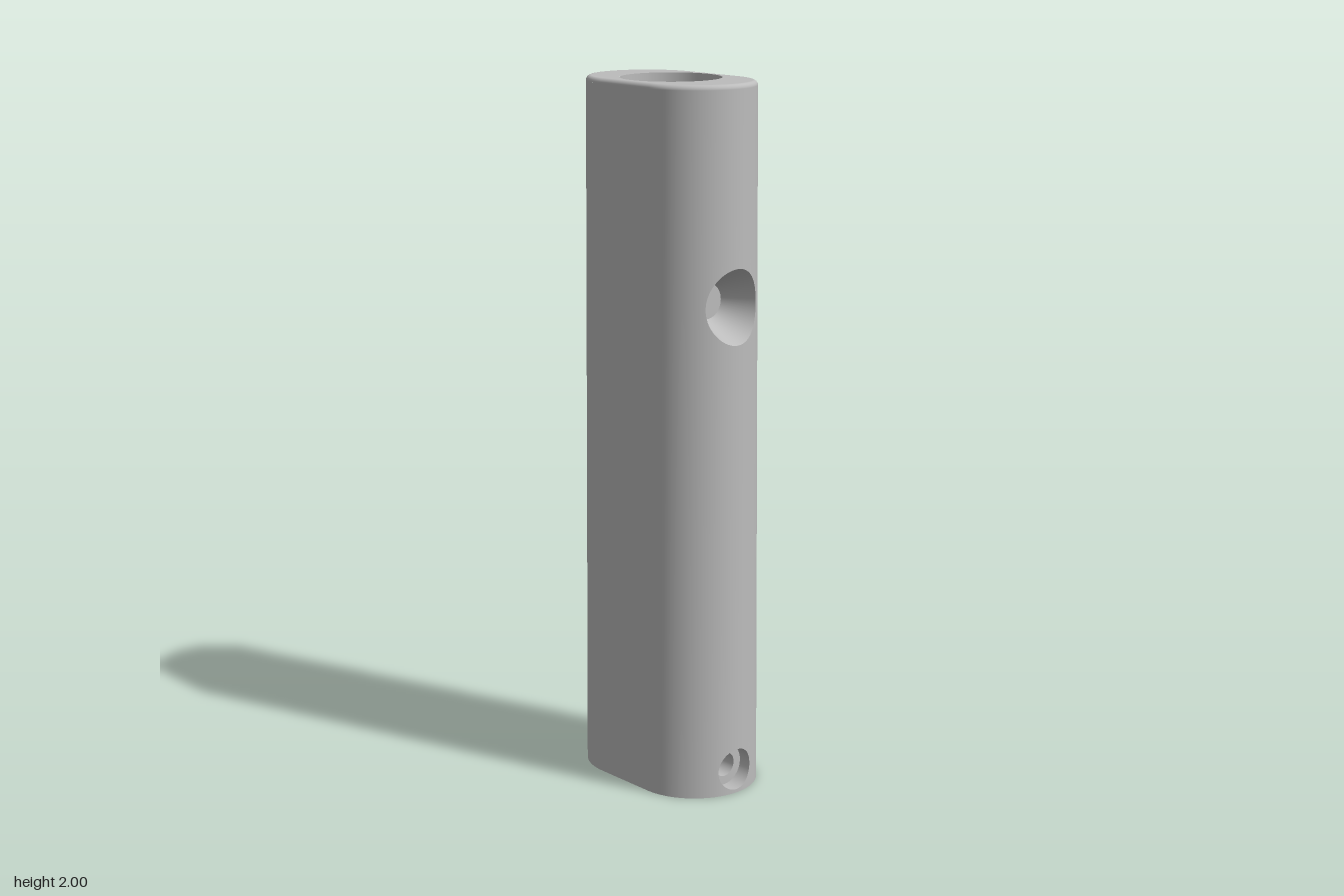
import * as THREE from 'three';
import { mergeGeometries } from 'three/addons/utils/BufferGeometryUtils.js';

const H = 2, FILLET = 0.014, TOP = H - FILLET;
const HALF = 0.1;                 // half length of the flat sides
const BORE = 0.14, NECK = 0.08;   // bore radii
const T = 0.8;                    // half angle of the areas that hold the side holes
const radius = y => 0.18 - 0.006 * y;
const V = (x, y, z) => new THREE.Vector3(x, y, z);

// Grid surface; fn(i, j) gives [position, normal], and faces turn towards the normal
function sheet(nu, nv, fn) {
  const pos = [], nor = [], idx = [], P = [], N = [];
  for (let j = 0; j <= nv; j++) for (let i = 0; i <= nu; i++) {
    const [p, n] = fn(i, j);
    n.normalize();
    P.push(p); N.push(n);
    pos.push(p.x, p.y, p.z);
    nor.push(n.x, n.y, n.z);
  }
  const tri = (a, b, c) => {
    const f = P[b].clone().sub(P[a]).cross(P[c].clone().sub(P[a]));
    if (f.dot(N[a].clone().add(N[b]).add(N[c])) >= 0) idx.push(a, b, c);
    else idx.push(a, c, b);
  };
  for (let j = 0; j < nv; j++) for (let i = 0; i < nu; i++) {
    const a = j * (nu + 1) + i, c = a + nu + 1;
    tri(a, a + 1, c);
    tri(a + 1, c + 1, c);
  }
  const g = new THREE.BufferGeometry();
  g.setAttribute('position', new THREE.Float32BufferAttribute(pos, 3));
  g.setAttribute('normal', new THREE.Float32BufferAttribute(nor, 3));
  g.setIndex(idx);
  return g;
}

// Round walls: angle t around the end, height y
const outerWall = (t, y) => [
  V(HALF + radius(y) * Math.cos(t), y, radius(y) * Math.sin(t)),
  V(Math.cos(t), 0.006, Math.sin(t))];
const boreWall = (t, y) => [
  V(BORE * Math.cos(t), y, BORE * Math.sin(t)),
  V(-Math.cos(t), 0, -Math.sin(t))];

const band = (wall, t0, t1, y0, y1, n = 16) =>
  sheet(n, 1, (i, j) => wall(t0 + (t1 - t0) * i / n, j ? y1 : y0));

// Where a hole's edge meets a round wall, at angle a around the hole
function rim(a, yc, rAt, hx, R) {
  let r = rAt(0.26);
  for (let k = 0; k < 12; k++) {
    const z = r * Math.cos(a);
    r = rAt(hx + Math.sqrt(R(yc + r * Math.sin(a)) ** 2 - z * z));
  }
  const z = r * Math.cos(a), y = yc + r * Math.sin(a);
  return V(hx + Math.sqrt(R(y) ** 2 - z * z), y, z);
}
const angle = k => -0.75 * Math.PI + k * Math.PI / 32;

// Wall area of height 2h around a hole
function holedPatch(wall, yc, h, rAt, hx, R) {
  return sheet(64, 8, (k, j) => {
    const side = Math.floor(k / 16) % 4, s = (k % 16) / 8 - 1;
    const [u, v] = [[s, -1], [1, s], [-s, 1], [-1, -s]][side];
    const p = rim(angle(k), yc, rAt, hx, R);
    const t = Math.asin(p.z / R(p.y)), f = j / 8;
    return wall(t + (u * T - t) * f, p.y + (yc + v * h - p.y) * f);
  });
}

// Inner surface of a side hole between two edge curves
const holeWall = (yc, from, to, slope = 0) => sheet(64, 1, (k, j) => {
  const a = angle(k);
  return [(j ? to : from)(a), V(slope, -Math.sin(a), -Math.cos(a))];
});
const circle = (x, yc, r) => a => V(x, yc + r * Math.sin(a), r * Math.cos(a));

export function createModel() {
  const group = new THREE.Group();
  const grey = new THREE.MeshStandardMaterial({ color: 0xbcbcbc });
  grey.name = 'plain grey';
  const add = (name, ...parts) => {
    const m = new THREE.Mesh(parts.length > 1 ? mergeGeometries(parts) : parts[0], grey);
    m.name = name;
    group.add(m);
    return m;
  };
  // Adds a part on the left end and the same part turned to the right end
  const addBoth = (name, ...parts) => {
    add('left' + name, ...parts);
    add('right' + name, ...parts).rotation.y = Math.PI;
  };

  const coneY = 1.4, coneFloor = 0.15, coneR = 0.05, coneSlope = 0.453;
  const cone = x => coneR + (x - coneFloor) * coneSlope;
  const pinY = 0.07, seatX = 0.23, seatR = 0.06, pinR = 0.035;
  const seat = () => seatR, pin = () => pinR, boreR = () => BORE;

  // Rounded ends of the tapered body, with openings for the side holes
  addBoth('RoundedEnd',
    holedPatch(outerWall, pinY, 0.07, seat, HALF, radius),
    band(outerWall, -T, T, 0.14, 1.26),
    holedPatch(outerWall, coneY, 0.14, cone, HALF, radius),
    band(outerWall, -T, T, 1.54, TOP),
    band(outerWall, T, Math.PI / 2, 0, TOP),
    band(outerWall, -Math.PI / 2, -T, 0, TOP));

  // Flat front and back
  const flat = sheet(1, 1, (i, j) => {
    const y = j ? TOP : 0;
    return [V(i ? HALF : -HALF, y, radius(y)), V(0, 0.006, 1)];
  });
  add('frontFace', flat);
  add('backFace', flat).rotation.y = Math.PI;

  // Rounded upper edge
  add('topFillet', sheet(98, 6, (i, j) => {
    const q = i % 98, far = q > 48;
    const t = -Math.PI / 2 + Math.PI * (far ? q - 1 : q) / 48;
    const b = j / 6 * Math.PI / 2;
    const r = radius(TOP) - FILLET * (1 - Math.cos(b));
    return [
      V((far ? -HALF : HALF) + r * Math.cos(t), TOP + FILLET * Math.sin(b), r * Math.sin(t)),
      V(Math.cos(t) * Math.cos(b), Math.sin(b), Math.sin(t) * Math.cos(b))];
  }));

  // End faces with the bore opening
  const endFace = r => {
    const s = new THREE.Shape();
    s.absarc(HALF, 0, r, -Math.PI / 2, Math.PI / 2);
    s.absarc(-HALF, 0, r, Math.PI / 2, Math.PI * 1.5);
    s.holes.push(new THREE.Path().absarc(0, 0, BORE, 0, Math.PI * 2, true));
    return new THREE.ShapeGeometry(s, 48);
  };
  add('topFace', endFace(radius(TOP) - FILLET).rotateX(-Math.PI / 2).translate(0, H, 0));
  add('bottomFace', endFace(radius(0)).rotateX(Math.PI / 2));

  // Stepped bore, narrowed by a neck in the middle
  const neckLow = 1.25, neckHigh = 1.55;
  const steps = [[BORE, H], [BORE, neckHigh], [NECK, neckHigh],
    [NECK, neckLow], [BORE, neckLow], [BORE, 0.14]];
  const names = ['upperBore', 'upperStep', 'neck', 'lowerStep', 'lowerBore'];
  names.forEach((name, i) => add(name, new THREE.LatheGeometry(
    [steps[i], steps[i + 1]].map(p => new THREE.Vector2(...p)), 64)));
  addBoth('BoreMouth',
    holedPatch(boreWall, pinY, 0.07, pin, 0, boreR),
    band(boreWall, T, Math.PI / 2, 0, 0.14),
    band(boreWall, -Math.PI / 2, -T, 0, 0.14));

  // Blind conical sockets
  addBoth('ConeSocket', holeWall(coneY,
    a => rim(a, coneY, cone, HALF, radius), circle(coneFloor, coneY, coneR), coneSlope));
  addBoth('ConeFloor', new THREE.CircleGeometry(coneR, 64)
    .rotateY(Math.PI / 2).translate(coneFloor, coneY, 0));

  // Counterbored pin holes that open into the bore
  addBoth('PinSeatWall', holeWall(pinY,
    a => rim(a, pinY, seat, HALF, radius), circle(seatX, pinY, seatR)));
  addBoth('PinSeat', new THREE.RingGeometry(pinR, seatR, 64)
    .rotateY(Math.PI / 2).translate(seatX, pinY, 0));
  addBoth('PinHole', holeWall(pinY,
    circle(seatX, pinY, pinR), a => rim(a, pinY, pin, 0, boreR)));

  return group;
}
